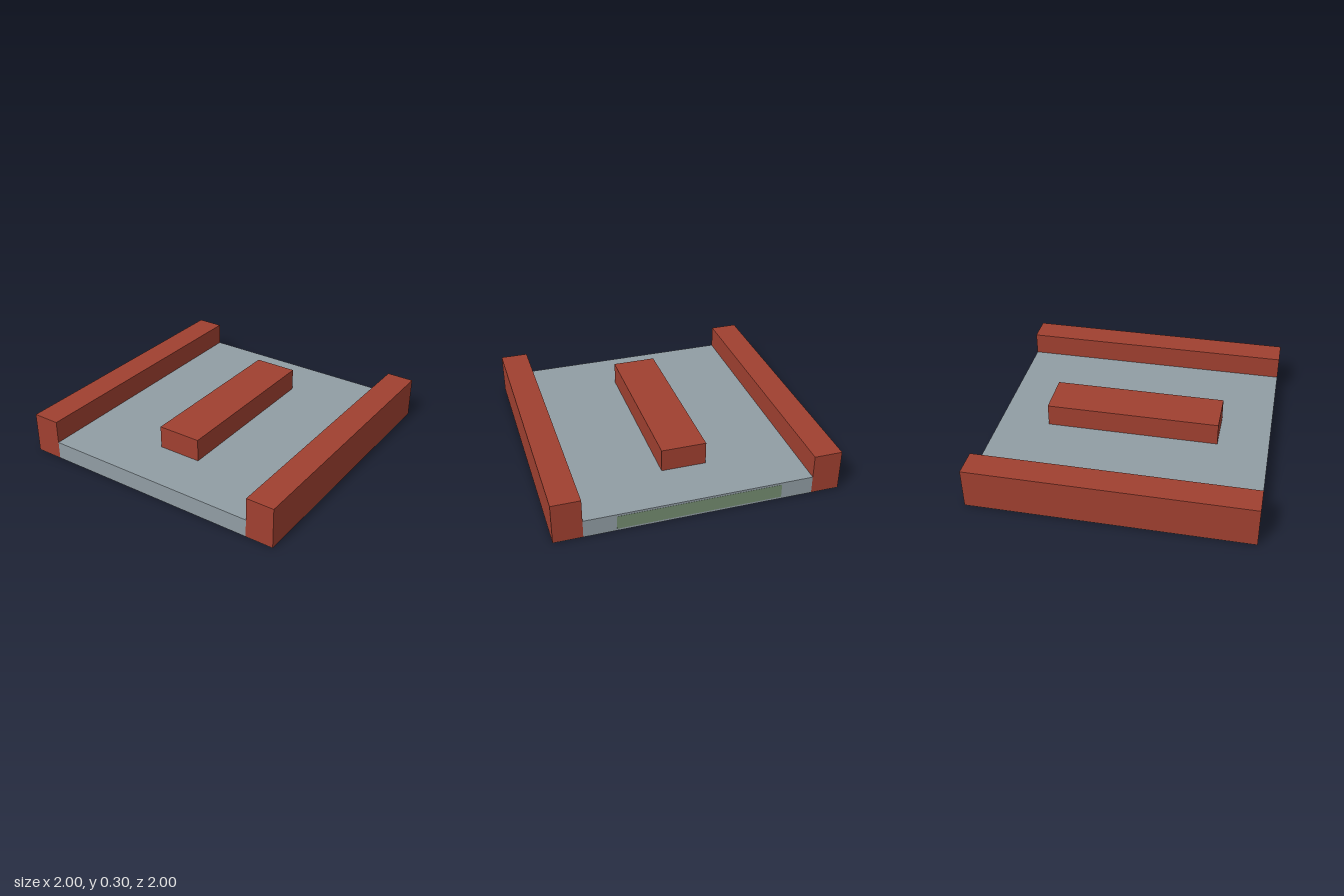
import * as THREE from 'three';

const RED = 0xa04030, GREY = 0x919da4, GREEN = 0x748c70;

export function createModel() {
  const model = new THREE.Group();
  const materials = {};

  // Box given by its size, centre x and z, and bottom height
  function addBox(name, color, w, h, d, x = 0, y = 0, z = 0) {
    materials[color] ??= new THREE.MeshStandardMaterial({ color });
    const mesh = new THREE.Mesh(new THREE.BoxGeometry(w, h, d), materials[color]);
    mesh.position.set(x, y + h / 2, z);
    mesh.name = name;
    model.add(mesh);
  }

  const wallWidth = 0.2, height = 0.295, floorTop = 0.13, skin = 0.002;

  // Grey floor between the walls, with a thin underside below everything
  addBox('underside', GREY, 2, skin, 2);
  addBox('floor', GREY, 2 - 2 * wallWidth, floorTop - skin, 2, 0, skin);

  // Side walls running the full length
  for (const [name, side] of [['leftWall', 1], ['rightWall', -1]]) {
    addBox(name, RED, wallWidth, height - skin, 2, side * (1 - wallWidth / 2), skin);
  }

  // Raised block in the middle
  addBox('centreBlock', RED, 0.32, height - floorTop, 1.26, 0, floorTop);

  // Shallow green strip on the back edge of the floor
  addBox('backStrip', GREEN, 1.15, 0.1, 0.002, 0, 0.015, -1);

  return model;
}
